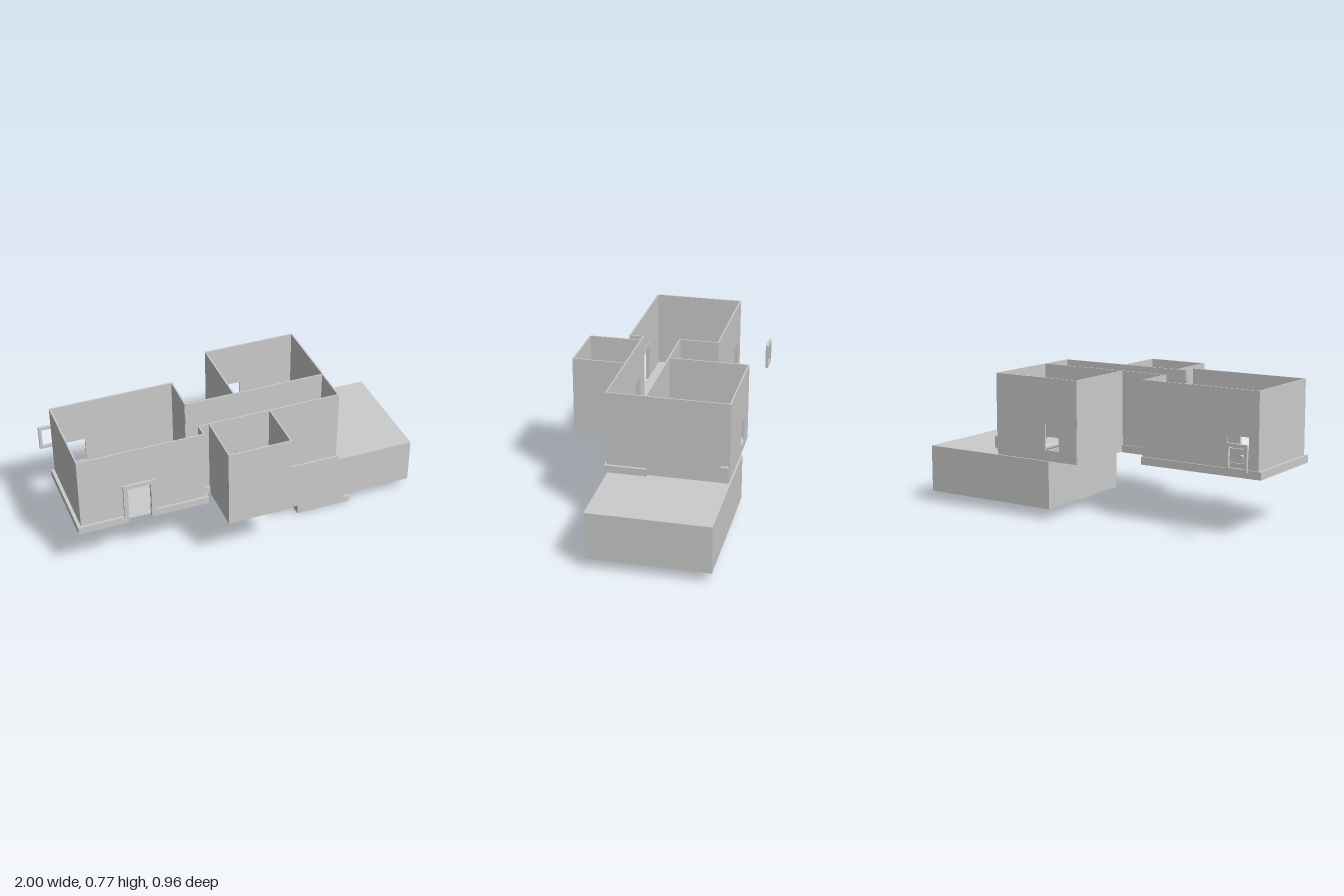
import * as THREE from 'three';
import { RoundedBoxGeometry } from 'three/addons/geometries/RoundedBoxGeometry.js';

const FLOOR = 0.32, TOP = 0.772, T = 0.008;
const grey = new THREE.MeshStandardMaterial({ color: 0xcccccc, flatShading: true });
const smooth = new THREE.MeshStandardMaterial({ color: 0xcccccc });
const black = new THREE.MeshStandardMaterial({ color: 0x0a0a0a });

export function createModel() {
  const root = new THREE.Group();
  let parent = root;

  const section = (name) => {
    parent = new THREE.Group();
    parent.name = name;
    root.add(parent);
  };
  const add = (name, geometry, material = grey) => {
    const mesh = new THREE.Mesh(geometry, material);
    mesh.name = name;
    parent.add(mesh);
    return mesh;
  };
  // Box given by its limits on each axis
  const box = (name, x0, x1, y0, y1, z0, z1, material) =>
    add(name, new THREE.BoxGeometry(x1 - x0, y1 - y0, z1 - z0)
      .translate((x0 + x1) / 2, (y0 + y1) / 2, (z0 + z1) / 2), material);
  const cylinder = (name, r, x, y0, y1, z) =>
    add(name, new THREE.CylinderGeometry(r, r, y1 - y0, 20).translate(x, (y0 + y1) / 2, z), smooth);
  // Wall along 'x' or 'z', with an optional opening [from, to, bottom, top]
  const wall = (name, axis, a, b, at, hole, y0 = FLOOR, y1 = TOP, t = T) => {
    const piece = (p, q, r, s) => {
      if (q - p < 0.001 || s - r < 0.001) return;
      if (axis === 'x') box(name, p, q, r, s, at - t / 2, at + t / 2);
      else box(name, at - t / 2, at + t / 2, r, s, p, q);
    };
    if (!hole) return piece(a, b, y0, y1);
    const [p, q, r, s] = hole;
    piece(a, p, y0, y1);
    piece(q, b, y0, y1);
    piece(p, q, y0, r);
    piece(p, q, s, y1);
  };
  const skirting = (axis, a, b, at) => wall('skirting', axis, a, b, at, null, FLOOR - 0.002, 0.36, 0.018);
  // Four-sided frame in the plane of z
  const frame = (name, x0, x1, y0, y1, z0, z1, w, sill = true) => {
    box(name, x0, x0 + w, y0, y1, z0, z1);
    box(name, x1 - w, x1, y0, y1, z0, z1);
    box(name, x0 + w, x1 - w, y1 - w, y1, z0, z1);
    if (sill) box(name, x0 + w, x1 - w, y0, y0 + w, z0, z1);
  };

  // Kitchen shell
  section('kitchen');
  box('floor', -0.965, -0.272, 0.326, 0.332, -0.25, 0.255);
  wall('backWall', 'x', -0.967, -0.272, -0.25, [-0.91, -0.785, 0.39, 0.53]);
  wall('frontWall', 'x', -0.967, -0.272, 0.257, [-0.71, -0.58, FLOOR, 0.54]);
  wall('leftWall', 'z', -0.25, 0.257, -0.963);
  wall('rightWall', 'z', -0.25, -0.03, -0.276);
  wall('rightWall', 'z', 0.18, 0.257, -0.276);
  skirting('x', -0.985, -0.267, -0.253);
  skirting('x', -0.985, -0.73, 0.264);
  skirting('x', -0.555, -0.258, 0.264);
  skirting('z', -0.255, 0.265, -0.976);
  skirting('z', -0.255, -0.03, -0.272);
  skirting('z', 0.18, 0.265, -0.267);
  frame('doorFrame', -0.73, -0.555, FLOOR, 0.56, 0.25, 0.273, 0.024, false);

  // Counters, sink, stove and stools
  section('kitchenFurniture');
  box('island', -0.945, -0.66, 0.332, 0.43, -0.138, -0.072);
  box('islandTop', -0.955, -0.65, 0.43, 0.44, -0.145, -0.065);
  box('counter', -0.95, -0.885, 0.332, 0.43, -0.065, 0.1);
  box('counterTop', -0.955, -0.88, 0.43, 0.44, -0.065, 0.105);
  frame('sinkRim', -0.81, -0.742, 0, 0.055, 0, 0.006, 0.006);
  parent.children.slice(-4).forEach((m) => {
    m.rotation.x = -Math.PI / 2;
    m.position.set(0, 0.44, -0.075);
  });
  box('sinkBasin', -0.802, -0.75, 0.439, 0.442, -0.123, -0.083, black);
  box('tap', -0.78, -0.772, 0.44, 0.465, -0.138, -0.13);
  box('stove', -0.945, -0.89, 0.44, 0.446, -0.03, 0.03);
  for (const x of [-0.84, -0.712]) {
    cylinder('stoolSeat', 0.02, x, 0.405, 0.415, -0.178);
    cylinder('stoolLeg', 0.004, x, 0.332, 0.405, -0.178);
    cylinder('stoolFoot', 0.015, x, 0.332, 0.336, -0.178);
  }

  // Window frame standing clear behind the kitchen
  section('looseWindow');
  frame('windowFrame', -1, -0.88, 0.39, 0.53, -0.442, -0.426, 0.016);

  // Hallway
  section('hallway');
  box('floor', -0.276, 0.31, FLOOR, 0.332, -0.03, 0.18);
  wall('backWall', 'x', -0.276, 0.53, -0.031, [0.06, 0.18, FLOOR, 0.56]);
  wall('frontWall', 'x', -0.276, 0.53, 0.18, [-0.185, -0.07, FLOOR, 0.56]);
  wall('endWall', 'z', -0.031, 0.184, 0.526);
  skirting('x', -0.267, 0, -0.032);
  skirting('x', -0.267, -0.22, 0.186);
  skirting('x', 0.13, 0.545, 0.186);
  skirting('z', -0.036, 0.195, 0.536);

  // Bedroom
  section('bedroom');
  box('floor', 0.003, 0.527, FLOOR, 0.34, -0.47, -0.03);
  wall('backWall', 'x', 0, 0.53, -0.471, [0.115, 0.205, 0.38, 0.52], 0.338);
  wall('leftWall', 'z', -0.471, -0.031, 0.002, null, 0.338);
  wall('rightWall', 'z', -0.471, -0.031, 0.528, null, 0.338);
  box('bedBase', 0.215, 0.36, 0.345, 0.37, -0.465, -0.23);
  add('mattress', new RoundedBoxGeometry(0.14, 0.03, 0.225, 3, 0.012).translate(0.288, 0.385, -0.345), smooth);
  add('pillow', new RoundedBoxGeometry(0.055, 0.02, 0.035, 3, 0.009).translate(0.288, 0.407, -0.44), smooth);
  box('headboard', 0.215, 0.36, 0.34, 0.44, -0.467, -0.46);
  box('rug', 0.36, 0.418, 0.34, 0.343, -0.45, -0.28);
  box('cabinet', 0.47, 0.52, 0.34, 0.4, -0.41, -0.27);
  box('deskTop', -0.004, 0.05, 0.415, 0.422, -0.445, -0.305);
  for (const z of [-0.44, -0.316]) box('deskSide', 0.006, 0.046, 0.34, 0.415, z, z + 0.006);
  box('chairSeat', 0.06, 0.1, 0.38, 0.386, -0.4, -0.36);
  box('chairBack', 0.095, 0.1, 0.386, 0.43, -0.4, -0.36);
  for (const x of [0.06, 0.095]) for (const z of [-0.4, -0.365])
    box('chairLeg', x, x + 0.005, 0.34, 0.38, z, z + 0.005);
  box('outsideBox', 0.525, 0.551, 0.355, 0.42, -0.47, -0.43);

  // Bathroom
  section('bathroom');
  add('floor', new THREE.PlaneGeometry(0.35, 0.29).rotateX(-Math.PI / 2).translate(-0.045, 0.324, 0.326));
  wall('frontWall', 'x', -0.221, 0.13, 0.473);
  wall('leftWall', 'z', 0.18, 0.473, -0.217);
  wall('rightWall', 'z', 0.18, 0.473, 0.126);
  box('washCabinet', -0.213, -0.15, 0.325, 0.42, 0.265, 0.402, black);
  box('tap', -0.206, -0.185, 0.42, 0.445, 0.33, 0.338, black);
  // Bathtub: rounded rim around a sunken basin
  const oval = (S, x, z, w, d, r) => {
    const s = new S();
    s.moveTo(x + r, z);
    s.lineTo(x + w - r, z).quadraticCurveTo(x + w, z, x + w, z + r);
    s.lineTo(x + w, z + d - r).quadraticCurveTo(x + w, z + d, x + w - r, z + d);
    s.lineTo(x + r, z + d).quadraticCurveTo(x, z + d, x, z + d - r);
    s.lineTo(x, z + r).quadraticCurveTo(x, z, x + r, z);
    return s;
  };
  const tub = oval(THREE.Shape, -0.085, -0.465, 0.205, 0.088, 0.004);
  tub.holes.push(oval(THREE.Path, -0.07, -0.455, 0.175, 0.068, 0.025));
  add('bathtub', new THREE.ExtrudeGeometry(tub, { depth: 0.075, bevelEnabled: false, curveSegments: 6 })
    .rotateX(-Math.PI / 2).translate(0, 0.325, 0));
  box('tubBottom', -0.08, 0.115, 0.326, 0.345, 0.382, 0.46);
  box('curtainRail', -0.09, 0.125, 0.6, 0.604, 0.364, 0.368);
  for (let i = 0; i < 8; i++) cylinder('curtainRing', 0.005, -0.07 + i * 0.026, 0.594, 0.608, 0.366);
  // Toilet
  box('toiletTank', 0.06, 0.11, 0.37, 0.43, 0.19, 0.21);
  add('toiletBowl', new THREE.CylinderGeometry(0.024, 0.015, 0.055, 20)
    .scale(1, 1, 1.25).translate(0.085, 0.352, 0.235), smooth);
  add('toiletSeat', new THREE.TorusGeometry(0.019, 0.005, 8, 24)
    .rotateX(Math.PI / 2).scale(1, 1, 1.25).translate(0.085, 0.382, 0.235), smooth);

  // Basement, its roof left open over the stairwell
  section('basement');
  box('floor', 0.18, 1, 0.058, 0.064, -0.48, 0.175);
  wall('backWall', 'x', 0.18, 1, -0.476, null, 0.058, FLOOR);
  wall('frontWall', 'x', 0.18, 1, 0.172, null, 0.058, FLOOR);
  wall('leftWall', 'z', -0.48, 0.176, 0.184, null, 0.058, FLOOR);
  wall('rightWall', 'z', -0.48, 0.176, 0.996, null, 0.058, FLOOR);
  box('roof', 0.18, 0.31, 0.314, FLOOR, -0.48, 0.175);
  box('roof', 0.522, 1, 0.314, FLOOR, -0.48, 0.175);
  box('roof', 0.31, 0.522, 0.314, FLOOR, -0.48, -0.028);

  // Solid staircase going down towards +x
  section('stairs');
  const steps = 10, run = 0.032;
  const profile = new THREE.Shape();
  profile.moveTo(0.31, 0);
  for (let i = 0; i < steps; i++) {
    const y = (steps - i) * run;
    profile.lineTo(0.31 + i * run, y);
    profile.lineTo(0.31 + (i + 1) * run, y);
  }
  profile.lineTo(0.63, 0);
  add('staircase', new THREE.ExtrudeGeometry(profile, { depth: 0.199, bevelEnabled: false })
    .translate(0, 0, -0.025));
  const rail = new THREE.Shape([[0.335, 0.32], [0.43, 0.225], [0.43, 0.252], [0.366, 0.32]]
    .map(([x, y]) => new THREE.Vector2(x, y)));
  add('handrail', new THREE.ExtrudeGeometry(rail, { depth: 0.012, bevelEnabled: false })
    .translate(0, 0, 0.166));

  return root;
}
